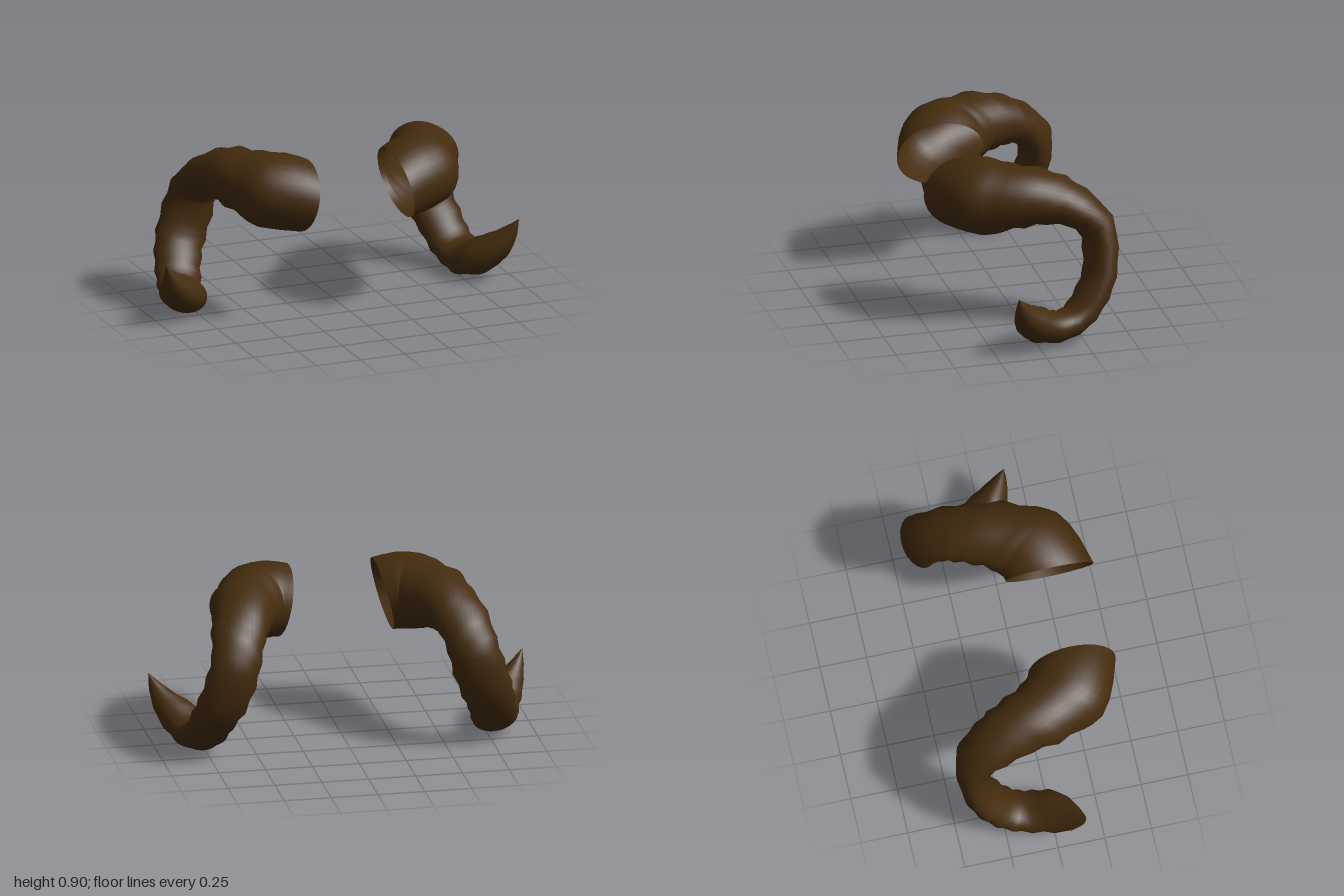
import * as THREE from 'three';

// Stations along the left horn: centre x,y,z | width axis x,y,z | half width, half height
const stations = [
  [0.268, 0.677, 0.235, 0, 0, 1, 0.235, 0.19],
  [0.355, 0.697, 0.205, 0.1, 0, 0.43, 0.228, 0.2],
  [0.437, 0.704, 0.16, 0.25, 0, 0.34, 0.222, 0.196],
  [0.477, 0.715, 0.09, 0.28, 0, 0.3, 0.208, 0.183],
  [0.535, 0.724, -0.04, 0.3, 0, 0.24, 0.192, 0.162],
  [0.567, 0.708, -0.165, 0.3, 0, 0.2, 0.165, 0.135],
  [0.6, 0.668, -0.27, 0.9, 0.1, 0.28, 0.148, 0.11],
  [0.628, 0.573, -0.365, 0.95, 0.25, 0, 0.138, 0.1],
  [0.66, 0.455, -0.381, 0.95, 0.3, -0.13, 0.143, 0.089],
  [0.706, 0.325, -0.363, 0.95, 0.3, -0.15, 0.14, 0.084],
  [0.742, 0.235, -0.315, 0.95, 0.27, -0.22, 0.132, 0.085],
  [0.767, 0.15, -0.25, 0.95, 0.25, -0.25, 0.127, 0.081],
  [0.787, 0.105, -0.18, 0.95, 0.25, -0.25, 0.123, 0.08],
  [0.805, 0.093, -0.097, 0.95, 0.27, -0.22, 0.127, 0.087],
  [0.837, 0.127, 0, 0.95, 0.28, -0.22, 0.128, 0.097],
  [0.888, 0.19, 0.077, 0.9, 0.27, -0.22, 0.103, 0.081],
  [0.947, 0.268, 0.12, 0.9, 0.28, -0.2, 0.053, 0.046],
  [0.996, 0.35, 0.15, 0.9, 0.28, -0.2, 0.001, 0.001],
];
const SIDES = 32;
const STEPS = 2; // a ridge on each station and a groove halfway to the next

// Sweep an elliptical section along the horn; side is +1 (left) or -1 (right)
function hornGeometry(side) {
  const curve = new THREE.CatmullRomCurve3(stations.map(s => new THREE.Vector3(s[0], s[1], s[2])));
  const last = stations.length - 1;
  const rings = last * STEPS;
  const positions = [];
  const index = [];
  for (let i = 0; i <= rings; i++) {
    const u = i / STEPS;
    const k = Math.min(Math.floor(u), last - 1);
    const mix = n => THREE.MathUtils.lerp(stations[k][n], stations[k + 1][n], u - k);
    const centre = curve.getPoint(i / rings);
    const tangent = curve.getTangent(i / rings);
    const wide = new THREE.Vector3(mix(3), mix(4), mix(5)).normalize();
    const high = tangent.cross(wide).normalize();
    const groove = i % STEPS && u > 3 && u < 14 ? 0.92 : 1;
    for (let j = 0; j < SIDES; j++) {
      const a = (j / SIDES) * Math.PI * 2;
      const p = centre.clone()
        .addScaledVector(wide, Math.cos(a) * mix(6) * groove)
        .addScaledVector(high, Math.sin(a) * mix(7) * groove);
      positions.push(p.x * side, p.y, p.z);
      if (i === rings) continue;
      const p0 = i * SIDES + j;
      const p1 = i * SIDES + ((j + 1) % SIDES);
      const q0 = p0 + SIDES;
      const q1 = p1 + SIDES;
      if (side > 0) index.push(p0, p1, q0, p1, q1, q0);
      else index.push(p0, q0, p1, p1, q0, q1);
    }
  }
  const geometry = new THREE.BufferGeometry();
  geometry.setAttribute('position', new THREE.Float32BufferAttribute(positions, 3));
  geometry.setIndex(index);
  geometry.computeVertexNormals();
  return geometry;
}

export function createModel() {
  const group = new THREE.Group();
  group.name = 'curledHorns';
  // The horns are hollow and open at the base
  const brown = new THREE.MeshStandardMaterial({ color: 0x442c0e, side: THREE.DoubleSide });
  brown.name = 'dark brown horn';
  for (const [name, side] of [['leftHorn', 1], ['rightHorn', -1]]) {
    const horn = new THREE.Mesh(hornGeometry(side), brown);
    horn.name = name;
    group.add(horn);
  }
  return group;
}
